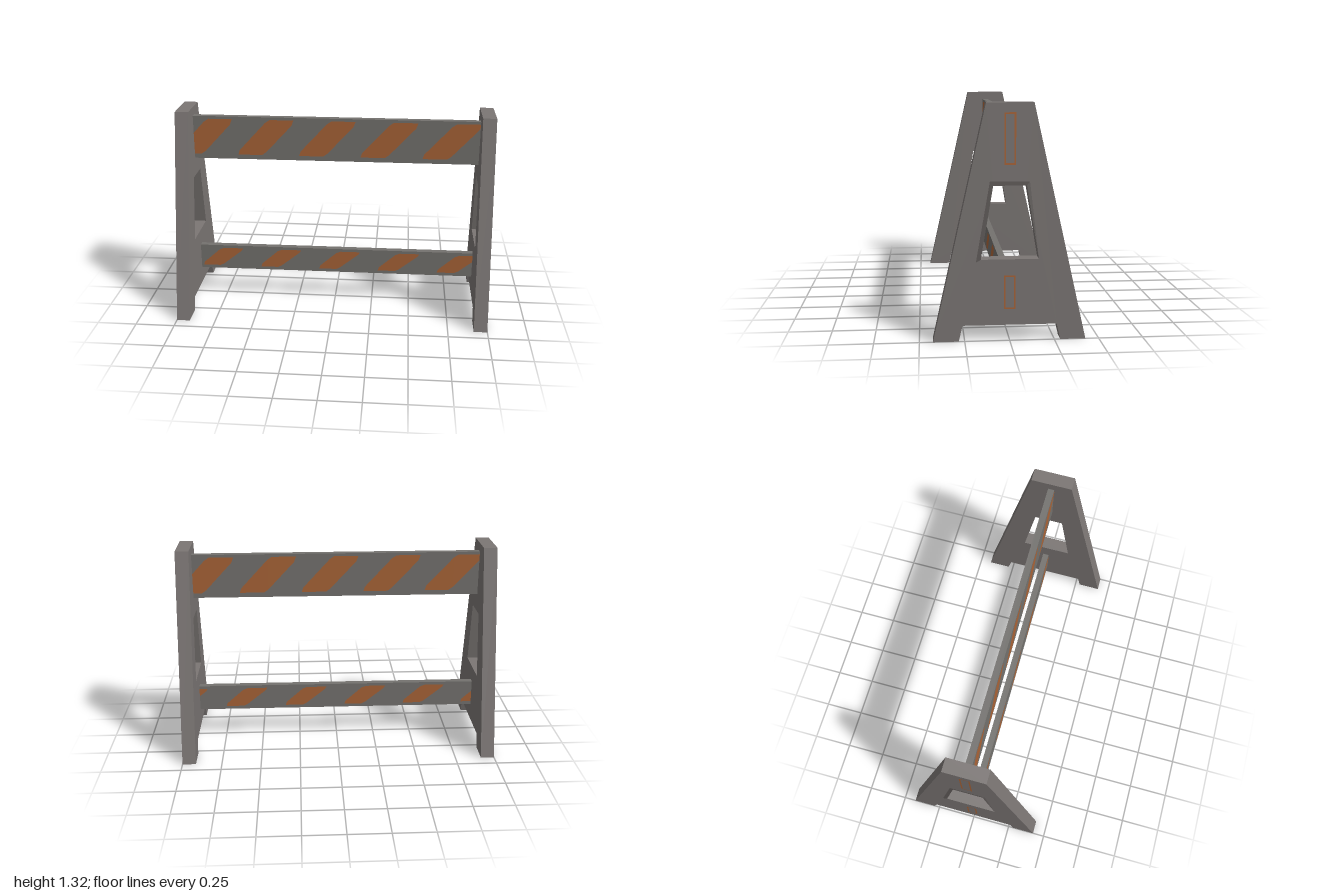
import * as THREE from 'three';

const INNER = 0.915; // inner face of the end panels

const shapeOf = (pts) => new THREE.Shape(pts.map(([x, y]) => new THREE.Vector2(x, y)));
const rect = (w, y0, y1) => [[-w, y0], [w, y0], [w, y1], [-w, y1]];

// Cut a convex outline at a vertical line, keeping the side where sign * x <= limit
function clip(pts, sign, limit) {
  const out = [];
  pts.forEach((a, i) => {
    const b = pts[(i + 1) % pts.length];
    const da = limit - sign * a[0], db = limit - sign * b[0];
    if (da >= 0) out.push(a);
    if (da * db < 0) {
      const t = da / (da - db);
      out.push([a[0] + t * (b[0] - a[0]), a[1] + t * (b[1] - a[1])]);
    }
  });
  return out;
}

export function createModel() {
  const panelGrey = new THREE.MeshStandardMaterial({ name: 'panel grey', color: 0x7b7674 });
  const boardGrey = new THREE.MeshStandardMaterial({ name: 'board grey', color: 0x74726f });
  const orange = new THREE.MeshStandardMaterial({ name: 'stripe orange', color: 0xa96437 });
  const trimGrey = new THREE.MeshStandardMaterial({ name: 'opening trim grey', color: 0x625d5b });
  const paleTrim = new THREE.MeshStandardMaterial({ name: 'pale trim grey', color: 0x6f6a68 });

  const model = new THREE.Group();
  model.name = 'barricade';

  const add = (parent, geometry, material, name) => {
    const mesh = new THREE.Mesh(geometry, material);
    mesh.name = name;
    parent.add(mesh);
    return mesh;
  };

  // A-shaped end panels with a foot notch and a trapezoid opening
  function endPanel(name) {
    const group = new THREE.Group();
    group.name = name;
    const outline = shapeOf([
      [-0.425, 0], [-0.283, 0], [-0.262, 0.09], [0.262, 0.09],
      [0.283, 0], [0.425, 0], [0.13, 1.315], [-0.13, 1.315],
    ]);
    outline.holes.push(shapeOf([[-0.16, 0.46], [-0.092, 0.867], [0.092, 0.867], [0.16, 0.46]]));
    const body = new THREE.ExtrudeGeometry(outline, { depth: 1 - INNER, bevelEnabled: false });
    body.translate(0, 0, INNER).rotateY(Math.PI / 2);
    add(group, body, panelGrey, 'panel');

    const onFace = (shape, material, part) =>
      add(group, new THREE.ShapeGeometry(shape).translate(0, 0, 1.001).rotateY(Math.PI / 2), material, part);

    // Trim beside the opening
    onFace(shapeOf([
      [-0.187, 0.445], [-0.16, 0.46], [-0.092, 0.867], [0.092, 0.867], [0.108, 0.89], [-0.11, 0.89],
    ]), trimGrey, 'openingTrim');
    onFace(shapeOf([[0.16, 0.46], [0.108, 0.89], [0.092, 0.867]]), paleTrim, 'openingSideTrim');

    // Orange outlines where the boards meet the panel
    for (const [y0, y1] of [[0.98, 1.262], [0.18, 0.37]]) {
      const frame = shapeOf(rect(0.032, y0, y1));
      frame.holes.push(shapeOf(rect(0.023, y0 + 0.009, y1 - 0.009).reverse()));
      onFace(frame, orange, 'boardOutline');
    }
    return group;
  }

  const leftPanel = endPanel('leftEndPanel');
  const rightPanel = endPanel('rightEndPanel');
  rightPanel.rotation.y = Math.PI;
  model.add(leftPanel, rightPanel);

  // Boards with slanted stripes on both faces
  const boards = [
    {
      name: 'upperBoard', y0: 0.98, y1: 1.262, starts: [-0.84, -0.83],
      stripe: [[-0.185, 1.01], [-0.03, 1.01], [-0.002, 1.03], [0.165, 1.21],
        [0.178, 1.245], [0.025, 1.245], [-0.005, 1.225], [-0.175, 1.04]],
    },
    {
      name: 'lowerBoard', y0: 0.192, y1: 0.36, starts: [-0.765, -1.0],
      stripe: [[-0.135, 0.213], [-0.02, 0.213], [0.005, 0.225], [0.13, 0.325],
        [0.14, 0.342], [0.01, 0.342], [-0.02, 0.33], [-0.128, 0.235]],
    },
  ];
  for (const { name, y0, y1, starts, stripe } of boards) {
    const group = new THREE.Group();
    group.name = name;
    const plank = new THREE.BoxGeometry(2 * INNER + 0.02, y1 - y0, 0.04);
    add(group, plank.translate(0, (y0 + y1) / 2, 0), boardGrey, 'plank');

    starts.forEach((start, face) => {
      for (let x = start; x < 1.05; x += 0.396) {
        let pts = stripe.map(([px, py]) => [px + x, py]);
        pts = clip(clip(pts, 1, INNER), -1, INNER);
        if (pts.length < 3) continue;
        const geometry = new THREE.ShapeGeometry(shapeOf(pts)).translate(0, 0, 0.0215);
        if (face === 1) geometry.rotateY(Math.PI);
        add(group, geometry, orange, face ? 'backStripe' : 'frontStripe');
      }
    });
    model.add(group);
  }
  return model;
}
